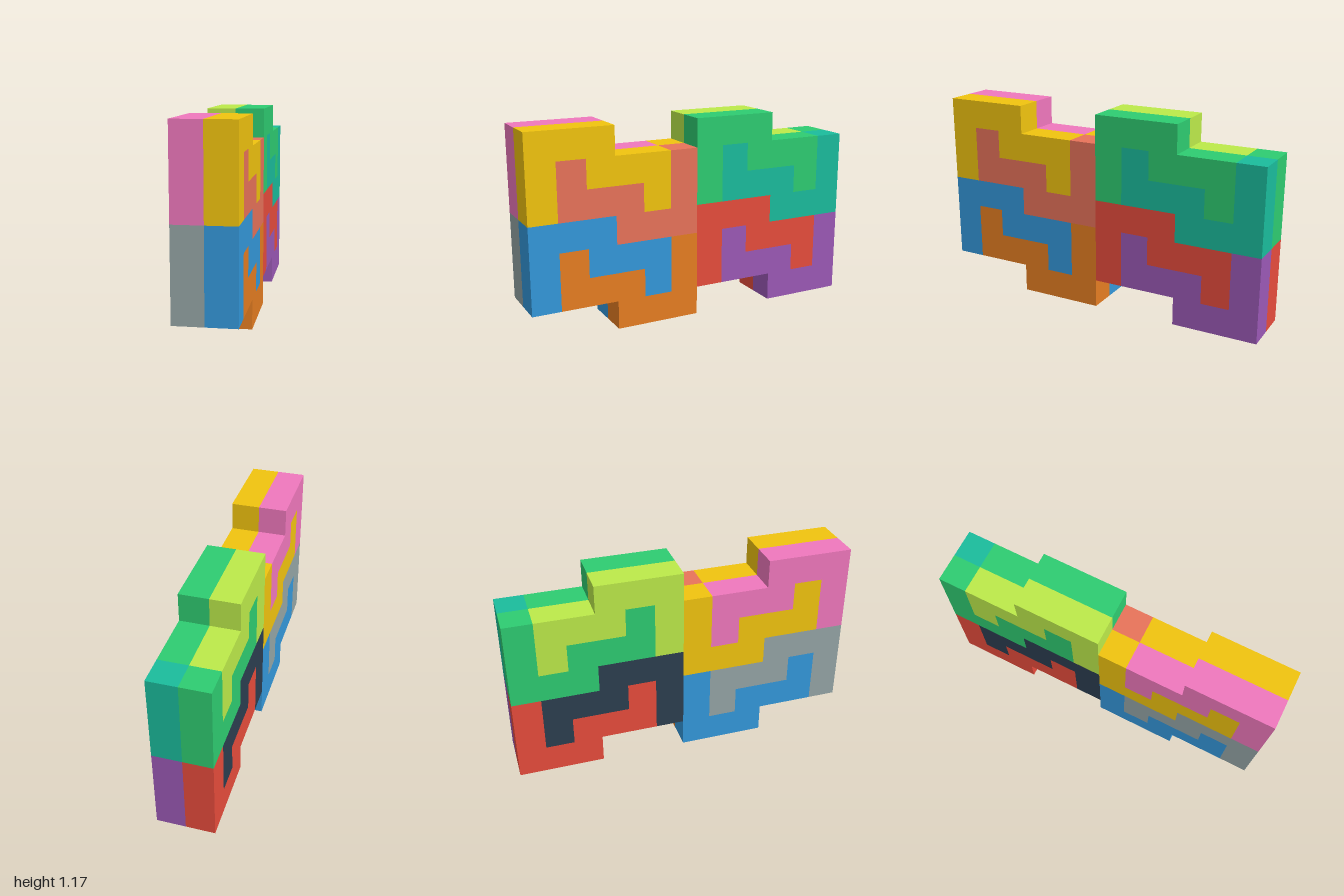
import * as THREE from 'three';

const U = 1 / 6; // one puzzle cell

// Outline of the hooked piece in cells; its partner is the same outline turned half a turn
const HOOK = [[0, 0], [1, 0], [1, 2], [2, 2], [2, 1], [4, 1], [4, 0], [5, 0], [5, 2], [3, 2], [3, 3], [0, 3]];
const PARTNER = HOOK.map(([c, r]) => [6 - c, 2 - r]);

const YELLOW = 0xf1c40f, BLUE = 0x3498db, GREEN = 0x2ecc71, RED = 0xe74c3c;

// Each block: first column, first row, and the colours of its four pieces
const BLOCKS = [
  { name: 'upperFront', col: 0, row: 4, shared: YELLOW, rightHook: 0xf078bd, leftPartner: 0xe8735a },
  { name: 'lowerFront', col: 0, row: 1, shared: BLUE, rightHook: 0x95a5a6, leftPartner: 0xe67e22 },
  { name: 'upperBack', col: 6, row: 4, shared: GREEN, rightHook: 0xbcea4a, leftPartner: 0x1abc9c },
  { name: 'lowerBack', col: 6, row: 1, shared: RED, rightHook: 0x2c3e50, leftPartner: 0x9b59b6 },
];

// One layer-thick piece; columns run from the front (+z) to the back
function piece(name, outline, block, x, color) {
  const shape = new THREE.Shape(outline.map(([c, r]) =>
    new THREE.Vector2((c + block.col) * U - 1, (r + block.row) * U)));
  const geometry = new THREE.ExtrudeGeometry(shape, { depth: U, bevelEnabled: false });
  geometry.rotateY(Math.PI / 2).translate(x, 0, 0);
  const mesh = new THREE.Mesh(geometry, new THREE.MeshStandardMaterial({ color }));
  mesh.name = name;
  return mesh;
}

export function createModel() {
  const model = new THREE.Group();
  model.name = 'interlockingPuzzle';
  for (const block of BLOCKS) {
    const group = new THREE.Group();
    group.name = block.name + 'Block';
    group.add(
      // left layer (+x)
      piece('leftHook', HOOK, block, 0, block.shared),
      piece('leftPartner', PARTNER, block, 0, block.leftPartner),
      // right layer (-x)
      piece('rightHook', HOOK, block, -U, block.rightHook),
      piece('rightPartner', PARTNER, block, -U, block.shared),
    );
    model.add(group);
  }
  return model;
}
